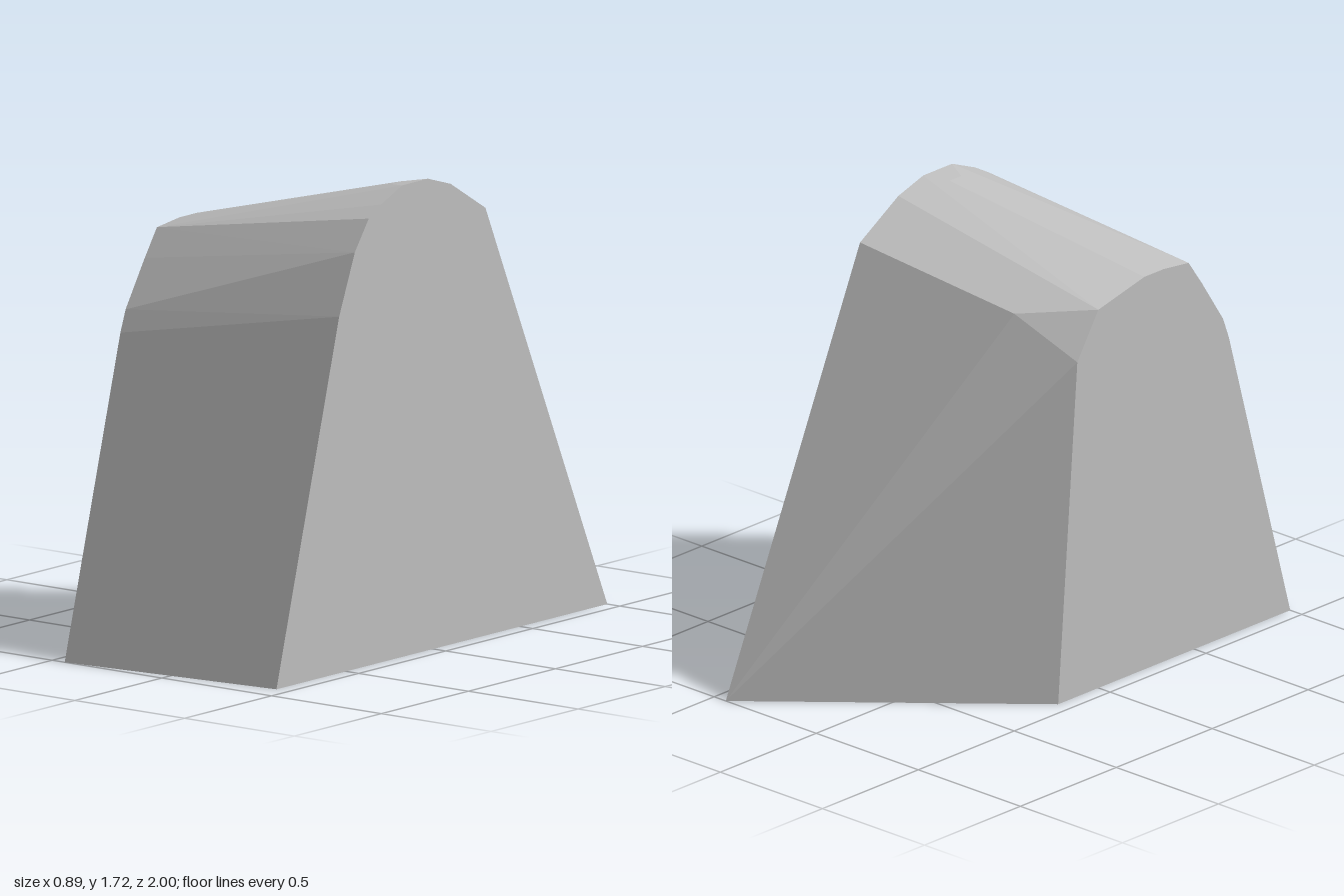
import * as THREE from 'three';
import { ConvexGeometry } from 'three/addons/geometries/ConvexGeometry.js';

// Side outlines as [z, y], from the front foot over the crown to the back foot
const tallSide = [
  [0.9, 0], [0.54, 1.3], [0.45, 1.52], [0.37, 1.63], [0.3, 1.67],
  [0.18, 1.72], [0.03, 1.72], [-0.1, 1.68], [-0.3, 1.56], [-1, 0],
];
const lowSide = [
  [1, 0], [0.68, 1.15], [0.65, 1.23], [0.54, 1.4], [0.47, 1.5],
  [0.34, 1.515], [0.24, 1.515], [0, 1.46], [-0.11, 1.29], [-0.21, 0],
];

const outline = (points, x) => points.map(([z, y]) => new THREE.Vector3(x, y, z));

export function createModel() {
  const group = new THREE.Group();
  group.name = 'taperedBlock';

  const grey = new THREE.MeshStandardMaterial({ color: 0xc0c0c0 });
  grey.name = 'light grey';

  // Faceted solid stretched between the two unequal sides
  const corners = [
    ...outline(tallSide, 0.443),
    ...outline(lowSide, -0.443),
    // Facet corners on the crown and the back slope
    new THREE.Vector3(0.36, 1.708, 0.08),
    new THREE.Vector3(0.36, 1.708, 0.14),
    new THREE.Vector3(-0.2, 1.43, -0.18),
  ];
  const body = new THREE.Mesh(new ConvexGeometry(corners), grey);
  body.name = 'body';
  group.add(body);
  return group;
}
